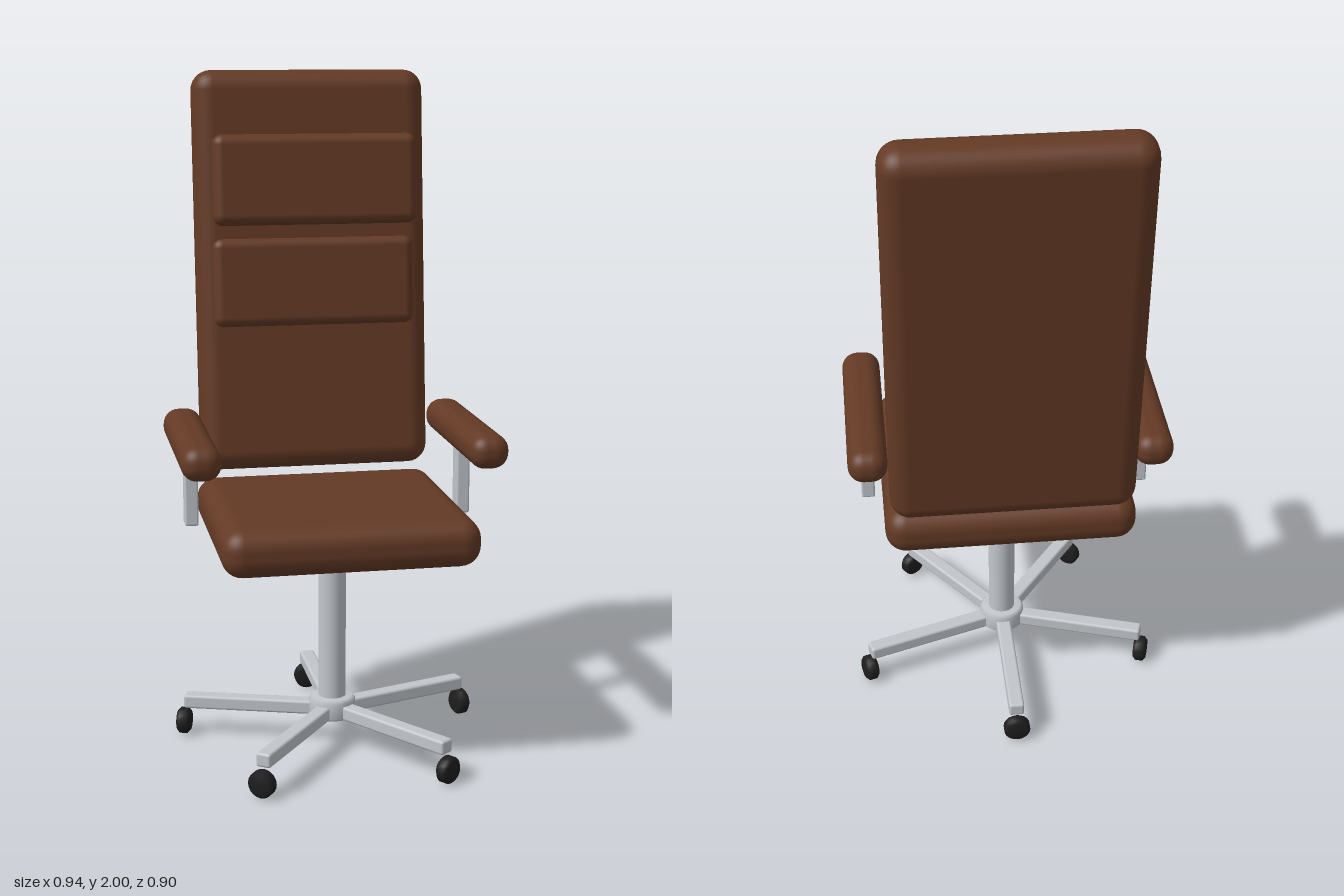
import * as THREE from 'three';
import { RoundedBoxGeometry } from 'three/addons/geometries/RoundedBoxGeometry.js';

const leather = new THREE.MeshStandardMaterial({ color: 0x643a25 });
leather.name = 'brown leather';
const metal = new THREE.MeshStandardMaterial({ color: 0xc2c6cb });
metal.name = 'brushed metal';
const rubber = new THREE.MeshStandardMaterial({ color: 0x1e1e1e });
rubber.name = 'black rubber';

function add(parent, name, geometry, material, x, y, z) {
  const mesh = new THREE.Mesh(geometry, material);
  mesh.name = name;
  mesh.position.set(x, y, z);
  parent.add(mesh);
  return mesh;
}

const rounded = (w, h, d, r) => new RoundedBoxGeometry(w, h, d, 4, r);

export function createModel() {
  const chair = new THREE.Group();
  chair.name = 'officeChair';

  // Seat cushion
  add(chair, 'seat', rounded(0.74, 0.14, 0.70, 0.06), leather, 0, 0.70, 0.06);

  // Reclined backrest with two raised pads
  const tilt = -0.1;
  const backParts = [
    ['backrest', rounded(0.71, 1.215, 0.14, 0.06), 1.395, -0.325],
    ['headPad', rounded(0.62, 0.27, 0.07, 0.03), 1.68, -0.236],
    ['lumbarPad', rounded(0.62, 0.27, 0.07, 0.03), 1.368, -0.268],
  ];
  for (const [name, geometry, y, z] of backParts) {
    add(chair, name, geometry, leather, 0, y, z).rotation.x = tilt;
  }

  // Armrests on flat posts
  for (const [side, s] of [['left', 1], ['right', -1]]) {
    add(chair, side + 'Armrest', rounded(0.114, 0.1, 0.6, 0.046), leather, s * 0.412, 0.94, 0.015);
    add(chair, side + 'ArmPost', rounded(0.04, 0.23, 0.056, 0.006), metal, s * 0.412, 0.80, -0.027);
  }

  // Gas column and hub
  const base = new THREE.Group();
  base.name = 'swivelBase';
  base.position.z = 0.045;
  chair.add(base);
  add(base, 'column', new THREE.CylinderGeometry(0.041, 0.041, 0.52, 32), metal, 0, 0.39, 0);
  const hubProfile = [[0, 0.085], [0.062, 0.085], [0.07, 0.093], [0.07, 0.138], [0.06, 0.15], [0, 0.15]];
  const hubPoints = hubProfile.map(([r, y]) => new THREE.Vector2(r, y));
  add(base, 'hub', new THREE.LatheGeometry(hubPoints, 24), metal, 0, 0, 0);

  // Five legs, each ending in a wheel with a radial axle; one points backwards
  const legGeometry = rounded(0.046, 0.042, 0.455, 0.008);
  const wheelProfile = [[0, -0.02], [0.03, -0.02], [0.04, -0.011], [0.04, 0.011], [0.03, 0.02], [0, 0.02]];
  const wheelPoints = wheelProfile.map(([r, y]) => new THREE.Vector2(r, y));
  const wheelGeometry = new THREE.LatheGeometry(wheelPoints, 20).rotateX(Math.PI / 2);
  for (let i = 0; i < 5; i++) {
    const leg = new THREE.Group();
    leg.name = 'leg' + (i + 1);
    leg.rotation.y = Math.PI + (i * Math.PI * 2) / 5;
    add(leg, 'legBar', legGeometry, metal, 0, 0.109, 0.2275);
    add(leg, 'wheel', wheelGeometry, rubber, 0, 0.042, 0.458);
    base.add(leg);
  }

  return chair;
}
